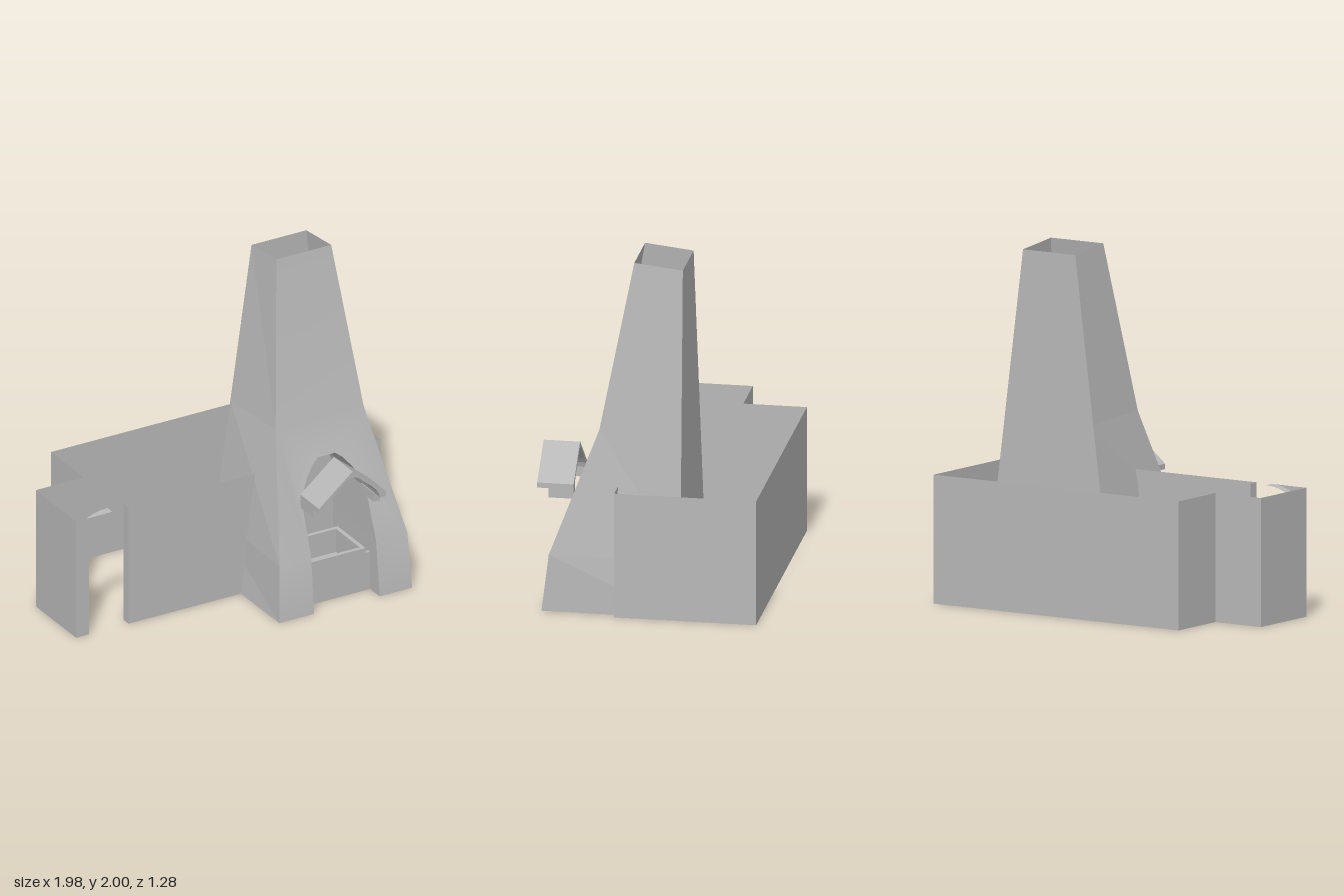
import * as THREE from 'three';
import { mergeGeometries, mergeVertices } from 'three/addons/utils/BufferGeometryUtils.js';

const stone = new THREE.MeshStandardMaterial({ color: 0xb8b8b8, side: THREE.DoubleSide });
stone.name = 'grey stone';

// Front face profile of the chimney: height, depth, left and right edges
const FRONT = [
  { y: 0, z: 0.585, a: 0.08, b: 0.94 },
  { y: 0.33, z: 0.545, a: 0.105, b: 0.932 },
  { y: 1.04, z: 0.28, a: 0.235, b: 0.805 },
  { y: 2, z: 0.1, a: 0.345, b: 0.7 },
];
const BACK = [[0.075, 0.94, 0, -0.2], [0.345, 0.7, 1.97, -0.175]];

function frontZ(y) {
  for (let i = 0; i < 3; i++) {
    const p = FRONT[i], q = FRONT[i + 1];
    if (y <= q.y) return p.z + (q.z - p.z) * (y - p.y) / (q.y - p.y);
  }
  return FRONT[3].z;
}

// Flat outline in x and y, with each point pushed to a depth given by a rule
function sheet(points, depth) {
  const geo = new THREE.ShapeGeometry(new THREE.Shape(points.map(p => new THREE.Vector2(...p))));
  const pos = geo.attributes.position;
  for (let i = 0; i < pos.count; i++) pos.setZ(i, depth(pos.getY(i)));
  geo.deleteAttribute('uv');
  geo.computeVertexNormals();
  return geo;
}

// Strip of separate quads between two rails of points
function strip(railA, railB) {
  const v = [];
  for (let i = 0; i < railA.length - 1; i++) {
    const [a, b, c, d] = [railA[i], railA[i + 1], railB[i + 1], railB[i]];
    v.push(...a, ...b, ...c, ...a, ...c, ...d);
  }
  const geo = new THREE.BufferGeometry();
  geo.setAttribute('position', new THREE.Float32BufferAttribute(v, 3));
  geo.computeVertexNormals();
  return geo;
}

export function createModel() {
  const group = new THREE.Group();
  const add = (name, geo, x = 0, y = 0, z = 0) => {
    const mesh = new THREE.Mesh(geo, stone);
    mesh.name = name;
    mesh.position.set(x, y, z);
    group.add(mesh);
    return mesh;
  };
  const box = (name, x0, x1, y0, y1, z0, z1) =>
    add(name, new THREE.BoxGeometry(x1 - x0, y1 - y0, z1 - z0), (x0 + x1) / 2, (y0 + y1) / 2, (z0 + z1) / 2);

  // Yard wall with a notched back corner
  const H = 0.73, ZF = 0.165, ZI = 0.11;
  const plan = [[0.985, ZF], [0.985, -0.64], [-0.68, -0.64], [-0.68, -0.28], [-0.99, -0.28], [-0.99, ZF]];
  add('yardWall', strip(plan.map(([x, z]) => [x, 0, z]), plan.map(([x, z]) => [x, H, z])));

  // Front walls on both sides of the chimney
  add('frontWall', sheet([[-0.65, 0], [0.085, 0], [0.172, H], [-0.65, H]], () => ZF));
  add('frontWallEnd', sheet([[0.94, 0], [0.985, 0], [0.985, H], [0.865, H]], () => ZF));

  // Doorway: post, broken arch and the depth of its jambs
  const arch = [[-0.905, 0.69], [-0.88, 0.704], [-0.84, 0.718], [-0.8, 0.727], [-0.755, H]];
  add('doorPost', sheet([[-0.99, 0], [-0.905, 0], ...arch, [-0.99, H]], () => ZF));
  const jamb = [[-0.905, 0], ...arch];
  add('doorArch', strip(jamb.map(([x, y]) => [x, y, ZF]), jamb.map(([x, y]) => [x, y, ZI])));
  add('doorJamb', strip([[-0.65, 0, ZF], [-0.65, H, ZF]], [[-0.65, 0, ZI], [-0.65, H, ZI]]));

  // Hearth opening, from the bottom left over the arch to the bottom right
  const half = [[0.21, 0.33], [0.205, 0.62], [0.185, 0.68], [0.145, 0.75], [0.095, 0.81], [0.055, 0.84]];
  const opening = [
    ...half.map(([x, y]) => [0.52 - x, y]),
    ...half.slice().reverse().map(([x, y]) => [0.52 + x, y]),
  ];

  // Chimney front: two legs, the arched breast and the upper stack
  const [f0, f1, f2, f3] = FRONT;
  const front = mergeGeometries([
    sheet([[f0.a, 0], [0.305, 0], [0.31, f1.y], [f1.a, f1.y]], frontZ),
    sheet([[0.73, 0], [f0.b, 0], [f1.b, f1.y], [0.73, f1.y]], frontZ),
    sheet([[f1.a, f1.y], ...opening, [f1.b, f1.y], [f2.b, f2.y], [f2.a, f2.y]], frontZ),
    sheet([[f2.a, f2.y], [f2.b, f2.y], [f3.b, f3.y], [f3.a, f3.y]], frontZ),
  ]);
  front.deleteAttribute('normal');
  const frontSmooth = mergeVertices(front, 1e-4);
  frontSmooth.computeVertexNormals();
  add('chimneyFront', frontSmooth);

  // Chimney sides and back
  for (const [name, key, k] of [['chimneyRight', 'a', 0], ['chimneyLeft', 'b', 1]]) {
    const back = FRONT.map(p => {
      const t = p.y / 2;
      const mix = i => BACK[0][i] + (BACK[1][i] - BACK[0][i]) * t;
      return [mix(k), mix(2), mix(3)];
    });
    const edge = FRONT.map(p => [p[key], p.y, p.z]);
    add(name, k ? strip(back, edge) : strip(edge, back));
  }
  add('chimneyBack', strip(
    BACK.map(([a, , y, z]) => [a, y, z]),
    BACK.map(([, b, y, z]) => [b, y, z])));

  // Vaulted niche behind the opening
  const niche = [[0.305, 0], ...opening, [0.73, 0]];
  add('nicheVault', strip(niche.map(([x, y]) => [x, y, frontZ(y)]), niche.map(([x, y]) => [x, y, 0.067])));
  add('nicheBack', sheet(niche, () => 0.067));

  // Fire basin: front panel, rim with a hollow, floor
  add('basinPanel', sheet([[0.305, 0], [0.73, 0], [0.73, 0.235], [0.305, 0.235]], () => 0.48));
  add('basinLedge', strip([[0.31, 0.235, 0.48], [0.73, 0.235, 0.48]], [[0.31, 0.235, 0.46], [0.73, 0.235, 0.46]]));
  box('basinRimFront', 0.33, 0.7, 0.235, 0.265, 0.455, 0.48);
  box('basinRimBack', 0.33, 0.7, 0.235, 0.265, 0.17, 0.195);
  box('basinRimRight', 0.33, 0.355, 0.235, 0.265, 0.195, 0.455);
  box('basinRimLeft', 0.675, 0.7, 0.235, 0.265, 0.195, 0.455);
  const ring = [[0.355, 0.195], [0.675, 0.195], [0.675, 0.455], [0.355, 0.455], [0.355, 0.195]];
  add('basinHollow', strip(ring.map(([x, z]) => [x, 0.12, z]), ring.map(([x, z]) => [x, 0.235, z])));
  add('basinFloor', strip([[0.355, 0.12, 0.455], [0.675, 0.12, 0.455]], [[0.355, 0.12, 0.195], [0.675, 0.12, 0.195]]));

  // Gabled canopy with a curved underside
  const canopy = new THREE.Shape();
  canopy.moveTo(-0.217, 0.655);
  canopy.lineTo(-0.18, 0.655);
  canopy.bezierCurveTo(-0.17, 0.72, -0.08, 0.77, -0.045, 0.81);
  canopy.quadraticCurveTo(0, 0.842, 0.045, 0.81);
  canopy.bezierCurveTo(0.08, 0.77, 0.17, 0.72, 0.18, 0.655);
  canopy.lineTo(0.217, 0.655);
  canopy.lineTo(0.217, 0.685);
  canopy.lineTo(0, 0.865);
  canopy.lineTo(-0.217, 0.685);
  add('canopy', new THREE.ExtrudeGeometry(canopy, { depth: 0.207, bevelEnabled: false, curveSegments: 6 }), 0.519, 0, 0.438);

  // Canopy brackets
  for (const s of [-1, 1]) {
    const x = 0.519 + s * 0.195;
    box('canopyBracket', x - 0.02, x + 0.02, 0.6, 0.656, 0.438, 0.58);
  }
  return group;
}
